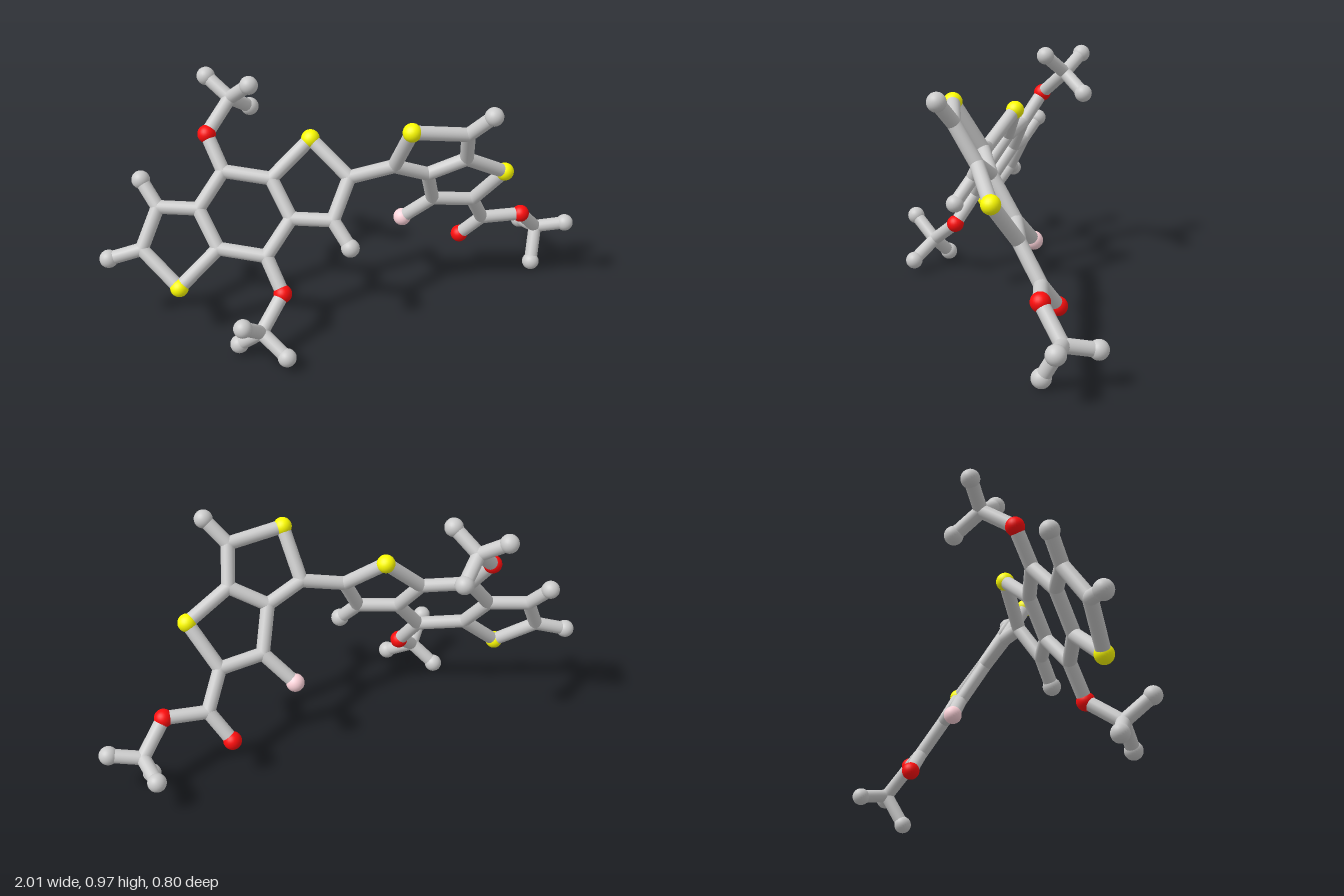
import * as THREE from 'three';

const BALL = 0.036, STICK = 0.027;
const material = (color) => new THREE.MeshStandardMaterial({ color });
const grey = material(0xcccccc);
const looks = { yellow: material(0xffff00), red: material(0xff0d0d), pink: material(0xffd5dc), end: grey };
const ballGeo = new THREE.SphereGeometry(BALL, 24, 16);
const jointGeo = new THREE.SphereGeometry(STICK, 20, 14);
const UP = new THREE.Vector3(0, 1, 0);

// The two ring systems are flat: each has its own tilted plane
const leftZ = (x, y) => -0.008 + 0.357 * (x + 0.44) - 0.58 * (y - 0.489);
const rightZ = (x, y) => 0.07 * x + 0.58 * y - 0.324;

// Atoms: [x, y, z, kind]; kind 'joint' is a plain rounded stick corner
function buildAtoms() {
  const atoms = {};
  const left = (name, x, y, kind = 'joint') => { atoms[name] = [x, y, leftZ(x, y), kind]; };
  const right = (name, x, y, kind = 'joint') => { atoms[name] = [x, y, rightZ(x, y), kind]; };

  // Left ring system: half is listed as offsets, the other half is point-mirrored
  const half = {
    sulfur: [-0.275, -0.264, 'yellow'], alpha: [-0.4, -0.14], beta: [-0.322, 0.007],
    fuseA: [-0.17, 0.008], fuseB: [-0.113, -0.123], core: [-0.062, 0.14],
    oxygen: [-0.107, 0.263, 'red'], betaEnd: [-0.374, 0.097, 'end'],
  };
  for (const [name, [dx, dy, kind]] of Object.entries(half)) {
    left(name + '1', -0.44 + dx, 0.489 + dy, kind);
    left(name + '2', -0.44 - dx, 0.489 - dy, kind);
  }
  left('alphaEnd1', -0.969, 0.31, 'end');

  // Methyl groups on the left ring system
  Object.assign(atoms, {
    methyl1: [-0.44, 0.857, -0.285, 'joint'],
    methyl1a: [-0.52, 0.926, -0.362, 'end'],
    methyl1b: [-0.375, 0.938, -0.198, 'end'],
    methyl1c: [-0.354, 0.783, -0.356, 'end'],
    methyl2: [-0.435, 0.125, 0.275, 'joint'],
    methyl2a: [-0.354, 0.056, 0.362, 'end'],
    methyl2b: [-0.514, 0.043, 0.214, 'end'],
    methyl2c: [-0.514, 0.211, 0.357, 'end'],
  });

  // Right ring system with its side branch
  right('link', 0.132, 0.665);
  right('topSulfur', 0.168, 0.852, 'yellow');
  right('topCorner', 0.388, 0.818);
  right('topEnd', 0.463, 0.908, 'end');
  right('fuseC', 0.415, 0.676);
  right('fuseD', 0.276, 0.602);
  right('sideSulfur', 0.592, 0.579, 'yellow');
  right('lowCorner', 0.5, 0.415);
  right('lowLeft', 0.328, 0.442);
  right('fluorine', 0.223, 0.33, 'pink');
  right('branch', 0.572, 0.28);
  right('branchOxygen', 0.5, 0.173, 'red');
  right('bridgeOxygen', 0.741, 0.283, 'red');
  Object.assign(atoms, {
    methyl3: [0.842, 0.17, -0.175, 'joint'],
    methyl3a: [0.964, 0.19, -0.143, 'end'],
    methyl3b: [0.806, 0.037, -0.109, 'end'],
    methyl3c: [0.817, 0.142, -0.299, 'end'],
  });
  return atoms;
}

// Each chain is a run of atoms joined by sticks
const CHAINS = [
  ['sulfur1', 'alpha1', 'beta1', 'fuseA1', 'fuseB1', 'sulfur1'],
  ['sulfur2', 'alpha2', 'beta2', 'fuseA2', 'fuseB2', 'sulfur2'],
  ['fuseA1', 'core1', 'fuseB2'], ['fuseA2', 'core2', 'fuseB1'],
  ['beta1', 'betaEnd1'], ['beta2', 'betaEnd2'], ['alpha1', 'alphaEnd1'],
  ['core1', 'oxygen1', 'methyl1'], ['core2', 'oxygen2', 'methyl2'],
  ['alpha2', 'link'],
  ['link', 'topSulfur', 'topCorner', 'fuseC', 'fuseD', 'link'],
  ['fuseC', 'sideSulfur', 'lowCorner', 'lowLeft', 'fuseD'],
  ['topCorner', 'topEnd'], ['lowLeft', 'fluorine'],
  ['lowCorner', 'branch', 'branchOxygen'], ['branch', 'bridgeOxygen', 'methyl3'],
];
for (const n of [1, 2, 3]) for (const e of 'abc') CHAINS.push(['methyl' + n, 'methyl' + n + e]);

export function createModel() {
  const model = new THREE.Group();
  model.name = 'molecule';
  const balls = new THREE.Group();
  balls.name = 'atoms';
  const sticks = new THREE.Group();
  sticks.name = 'bonds';
  model.add(balls, sticks);

  const atoms = buildAtoms();
  const points = {};
  for (const [name, [x, y, z, kind]] of Object.entries(atoms)) {
    points[name] = new THREE.Vector3(x, y, z);
    const joint = kind === 'joint';
    const mesh = new THREE.Mesh(joint ? jointGeo : ballGeo, joint ? grey : looks[kind]);
    mesh.name = name;
    mesh.position.copy(points[name]);
    balls.add(mesh);
  }

  // Sticks between neighbouring atoms
  for (const chain of CHAINS) {
    for (let i = 1; i < chain.length; i++) {
      const a = points[chain[i - 1]], b = points[chain[i]];
      const dir = b.clone().sub(a);
      const mesh = new THREE.Mesh(new THREE.CylinderGeometry(STICK, STICK, dir.length(), 20, 1, true), grey);
      mesh.name = 'bond';
      mesh.position.addVectors(a, b).multiplyScalar(0.5);
      mesh.quaternion.setFromUnitVectors(UP, dir.normalize());
      sticks.add(mesh);
    }
  }
  return model;
}
